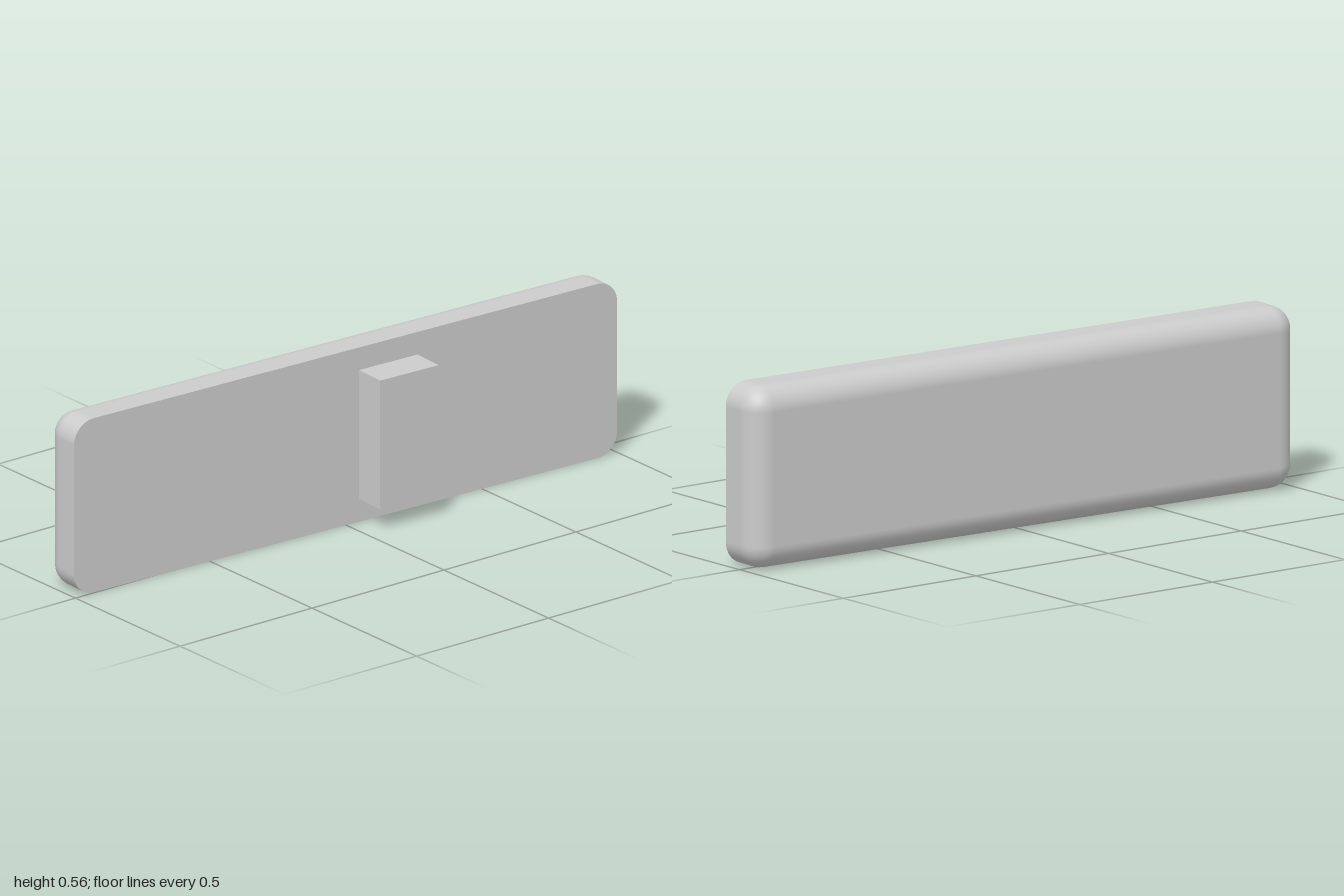
import * as THREE from 'three';

const HEIGHT = 0.555, LENGTH = 1.9988, THICK = 0.145, R = 0.0725;

// Slab with a flat +x face and fully rounded edges on its -x side.
function slabGeometry() {
  const pos = [], nor = [], idx = [];
  const CORNER = 12, ARC = 12, ring = 4 * (CORNER + 1);

  const addRing = (x, radius, normalX, normalR) => {
    for (let q = 0; q < 4; q++) {
      const sy = q === 0 || q === 3 ? 1 : -1, sz = q < 2 ? 1 : -1;
      for (let k = 0; k <= CORNER; k++) {
        const a = (q + k / CORNER) * Math.PI / 2;
        const c = Math.cos(a), s = Math.sin(a);
        pos.push(x, sy * (HEIGHT / 2 - R) + radius * c, sz * (LENGTH / 2 - R) + radius * s);
        nor.push(normalX, normalR * c, normalR * s);
      }
    }
  };

  // rounded edge, then the straight rim
  for (let i = 0; i <= ARC; i++) {
    const t = i / ARC * Math.PI / 2;
    addRing(-THICK + R - R * Math.cos(t), R * Math.sin(t), -Math.cos(t), Math.sin(t));
  }
  addRing(0, R, 0, 1);
  for (let i = 0; i <= ARC; i++) {
    for (let j = 0; j < ring; j++) {
      const n = (j + 1) % ring;
      const a = i * ring + j, b = i * ring + n, c = b + ring, d = a + ring;
      idx.push(a, b, d, b, c, d);
    }
  }

  // flat faces on both sides
  const cap = (x, radius, dir) => {
    const start = pos.length / 3;
    addRing(x, radius, dir, 0);
    const centre = pos.length / 3;
    pos.push(x, 0, 0);
    nor.push(dir, 0, 0);
    for (let j = 0; j < ring; j++) {
      const a = start + j, b = start + (j + 1) % ring;
      if (dir > 0) idx.push(centre, a, b);
      else idx.push(centre, b, a);
    }
  };
  cap(-THICK, 0, -1);
  cap(0, R, 1);

  const g = new THREE.BufferGeometry();
  g.setAttribute('position', new THREE.Float32BufferAttribute(pos, 3));
  g.setAttribute('normal', new THREE.Float32BufferAttribute(nor, 3));
  g.setIndex(idx);
  return g;
}

export function createModel() {
  const model = new THREE.Group();
  model.name = 'handlePlate';
  const material = new THREE.MeshStandardMaterial({ color: 0xcccccc });

  // both parts share a slight turn about the vertical
  const body = new THREE.Group();
  body.name = 'body';
  body.position.set(0.0315, HEIGHT / 2, 0.0014);
  body.rotation.y = -0.0385;
  model.add(body);

  const plate = new THREE.Mesh(slabGeometry(), material);
  plate.name = 'plate';
  body.add(plate);

  // mounting block standing on the flat face
  const block = new THREE.Mesh(new THREE.BoxGeometry(0.107, 0.411, 0.2155), material);
  block.name = 'mountingBlock';
  block.position.set(0.0535, 0, -0.157);
  body.add(block);

  return model;
}
